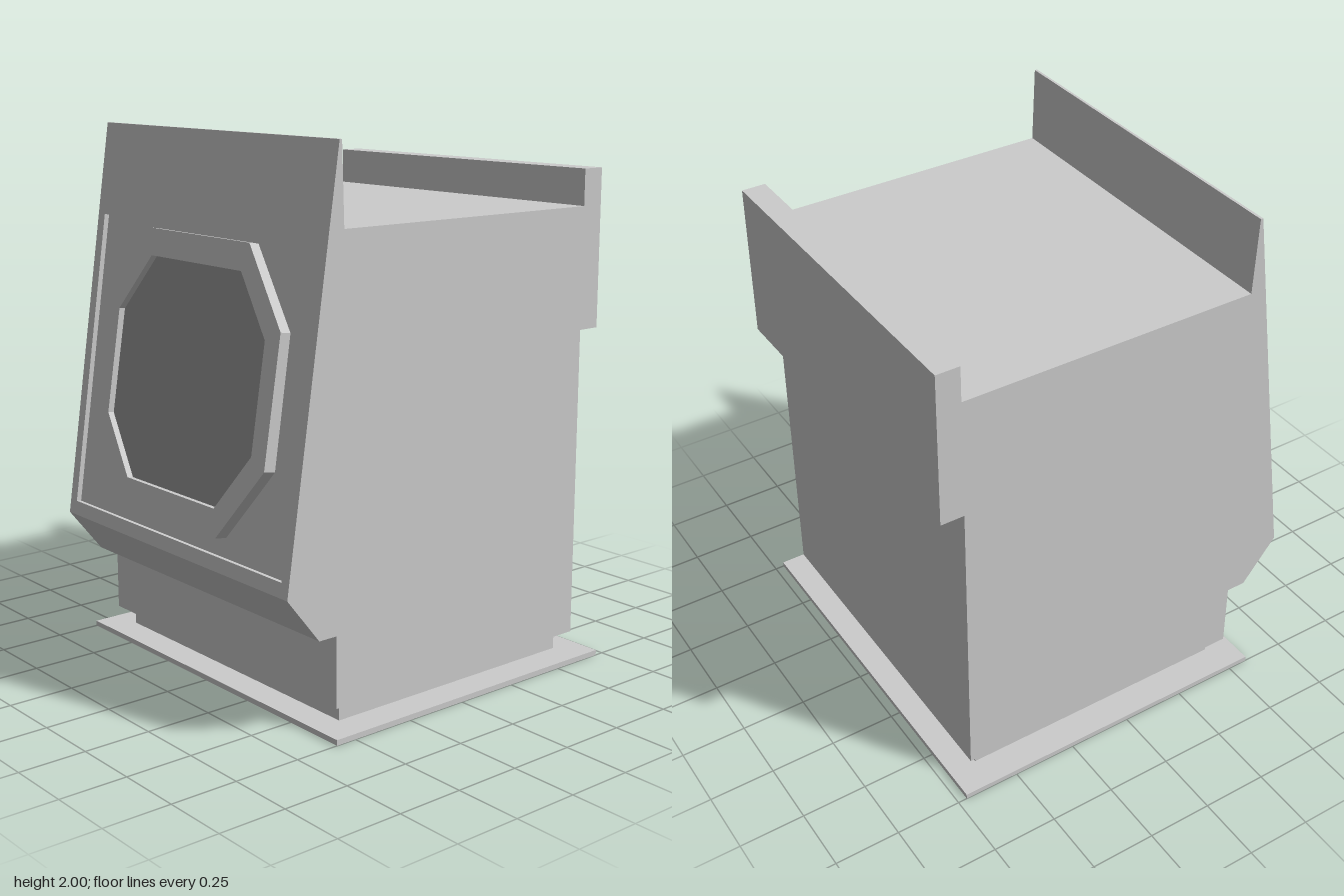
import * as THREE from 'three';

const W = 0.675; // half width of the cabinet
const grey = new THREE.MeshStandardMaterial({ color: 0xcccccc, side: THREE.DoubleSide, flatShading: true });
const dark = new THREE.MeshStandardMaterial({ color: 0x999999, side: THREE.DoubleSide, flatShading: true });

function add(parent, name, geometry, material = grey) {
  const mesh = new THREE.Mesh(geometry, material);
  mesh.name = name;
  parent.add(mesh);
  return mesh;
}

const polygon = pts => pts.map(p => new THREE.Vector2(p[0], p[1]));
const rect = (x, y0, y1) => polygon([[-x, y0], [x, y0], [x, y1], [-x, y1]]);
// Octagon with half sizes a, b and half flat lengths c (top), d (sides)
const octagon = (a, b, c, d) =>
  polygon([[c, -b], [a, -d], [a, d], [c, b], [-c, b], [-a, d], [-a, -d], [-c, -b]]);

function holed(outer, inner) {
  const shape = new THREE.Shape(outer);
  shape.holes.push(new THREE.Path(inner));
  return shape;
}
const extrude = (shape, depth) => new THREE.ExtrudeGeometry(shape, { depth, bevelEnabled: false });

// Horizontal frame around the open underside
const opening = rect(0.615, -0.455, 0.585);
function floorFrame(x, front, back, y, depth) {
  const shape = holed(rect(x, -front, -back), opening);
  const g = depth ? extrude(shape, depth) : new THREE.ShapeGeometry(shape);
  return g.rotateX(-Math.PI / 2).translate(0, y, 0);
}

export function createModel() {
  const model = new THREE.Group();
  model.name = 'washingMachine';

  // Side outline as [z, y], from the front bottom over the top to the back bottom
  const profile = [
    [0.52, 0.09], [0.52, 0.35], [0.595, 0.35], [0.73, 0.52], [0.51, 2], [0.5, 2], [0.49, 1.715],
    [-0.65, 1.715], [-0.65, 1.85], [-0.74, 1.85], [-0.74, 1.26], [-0.65, 1.26], [-0.65, 0.09],
  ];
  const slant = 3; // index of the sloping front edge, built separately

  // Cabinet skin: one strip per outline edge
  const positions = [];
  for (let i = 0; i < profile.length - 1; i++) {
    if (i === slant) continue;
    const [z0, y0] = profile[i], [z1, y1] = profile[i + 1];
    positions.push(-W, y0, z0, W, y0, z0, W, y1, z1, -W, y0, z0, W, y1, z1, -W, y1, z1);
  }
  const skin = new THREE.BufferGeometry();
  skin.setAttribute('position', new THREE.Float32BufferAttribute(positions, 3));
  skin.computeVertexNormals();
  add(model, 'cabinetSkin', skin);

  // Side panels
  for (const side of [-1, 1]) {
    const g = new THREE.ShapeGeometry(new THREE.Shape(polygon(profile))).rotateY(-Math.PI / 2);
    add(model, side > 0 ? 'leftPanel' : 'rightPanel', g).position.x = side * W;
  }

  // Hollow base: flange, plinth, cabinet underside and inner floor
  add(model, 'baseFlange', floorFrame(0.75, 0.58, -0.715, 0, 0.02));
  add(model, 'plinth', floorFrame(0.63, 0.47, -0.605, 0.02, 0.07));
  add(model, 'cabinetUnderside', floorFrame(W, 0.52, -0.65, 0.09, 0));
  const floor = new THREE.PlaneGeometry(2 * W, 1.35).rotateX(Math.PI / 2);
  add(model, 'innerFloor', floor).position.set(0, 0.57, 0.025);

  // Sloping front, modelled flat and then leaned back
  const [z0, y0] = profile[slant], [z1, y1] = profile[slant + 1];
  const length = Math.hypot(z1 - z0, y1 - y0);
  const front = new THREE.Group();
  front.name = 'slopingFront';
  front.position.set(0, y0, z0);
  front.rotation.x = Math.atan2(z1 - z0, y1 - y0);
  model.add(front);

  // Front panel with a shallow recess
  const low = 0.052, high = 1.155, recess = 0.02;
  const recessOutline = rect(0.635, low, high);
  add(front, 'frontPanel', new THREE.ShapeGeometry(holed(rect(W, 0, length), recessOutline)));
  const rim = extrude(holed(rect(0.638, low - 0.003, high + 0.003), recessOutline), recess - 0.001);
  add(front, 'recessRim', rim).position.z = -recess;
  add(front, 'recessPanel', new THREE.ShapeGeometry(new THREE.Shape(recessOutline))).position.z = -recess;

  // Octagonal door ring with dark glass
  const door = new THREE.Group();
  door.name = 'door';
  door.position.set(0, 0.627, 0);
  door.rotation.x = -0.01;
  front.add(door);
  const inner = octagon(0.438, 0.407, 0.267, 0.195);
  const ring = extrude(holed(octagon(0.515, 0.505, 0.295, 0.232), inner), 0.047);
  add(door, 'doorRing', ring).position.z = -0.023;
  add(door, 'doorGlass', new THREE.ShapeGeometry(new THREE.Shape(inner)), dark).position.z = 0;

  return model;
}
